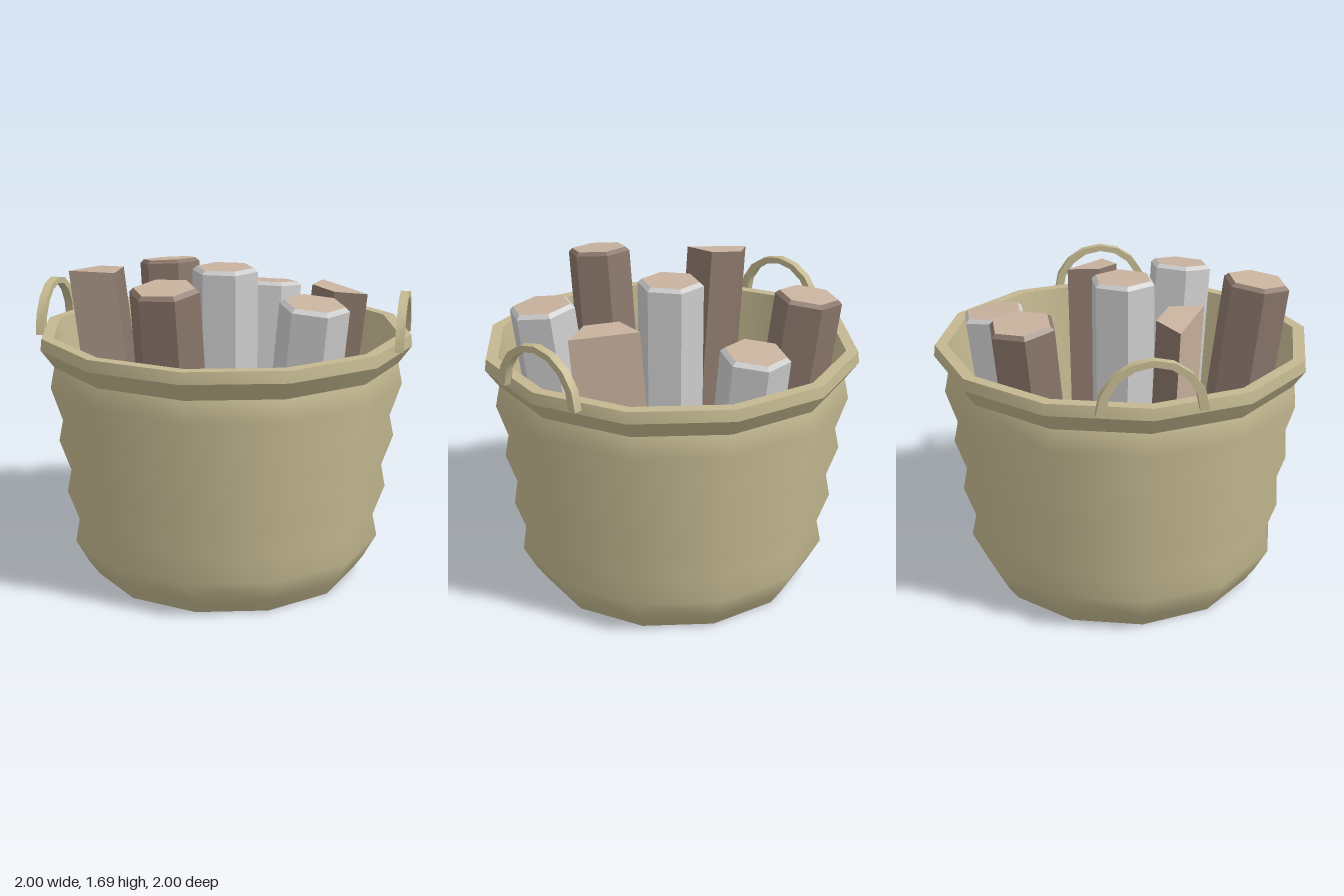
import * as THREE from 'three';
import { toCreasedNormals } from 'three/addons/utils/BufferGeometryUtils.js';

const mat = (color, flatShading = false) => new THREE.MeshStandardMaterial({ color, flatShading });
const R = 0.177;      // log radius
const FLOOR = 0.1;    // inside floor of the basket

export function createModel() {
  const model = new THREE.Group();
  const wicker = mat(0xc3b890);
  const wood = mat(0xc8b29e, true);
  const greyBark = mat(0xcccccc, true);
  const brownBark = mat(0x8a766a, true);

  const add = (parent, name, geometry, material) => {
    const mesh = new THREE.Mesh(geometry, material);
    mesh.name = name;
    parent.add(mesh);
    return mesh;
  };

  // Twelve-sided lathe, smooth below the crease angle
  const lathe = (name, profile, crease) => {
    const points = profile.map(([x, y]) => new THREE.Vector2(x, y));
    add(model, name, toCreasedNormals(new THREE.LatheGeometry(points, 12), crease), wicker);
  };

  // Basket: rippled wall, rim and lining
  lathe('basketWall', [
    [0, 0], [0.725, 0], [0.78, 0.08], [0.85, 0.21], [0.825, 0.33], [0.885, 0.5], [0.862, 0.62],
    [0.92, 0.79], [0.897, 0.9], [0.955, 1.08], [0.932, 1.19],
  ], 0.85);
  lathe('basketRim', [[0.932, 1.19], [1, 1.285], [0.993, 1.345], [0.93, 1.345]], 0.6);
  lathe('basketLining', [[0.93, 1.345], [0.76, FLOOR], [0, FLOOR]], 0.6);

  // Handles: flat arched bands on the two sides
  const arch = new THREE.Shape();
  const arc = (rx, ry, i) => [rx * Math.cos((i * Math.PI) / 8), ry * Math.sin((i * Math.PI) / 8)];
  arch.moveTo(...arc(0.27, 0.265, 0));
  for (let i = 1; i <= 8; i++) arch.lineTo(...arc(0.27, 0.265, i));
  for (let i = 8; i >= 0; i--) arch.lineTo(...arc(0.225, 0.232, i));
  const handleGeometry = new THREE.ExtrudeGeometry(arch, { depth: 0.045, bevelEnabled: false });
  handleGeometry.translate(0, 0, -0.0225).rotateY(Math.PI / 2);
  for (const side of [1, -1]) {
    const handle = add(model, side > 0 ? 'leftHandle' : 'rightHandle',
      toCreasedNormals(handleGeometry, 0.6), wicker);
    handle.position.set(side * 0.952, 1.31, 0);
  }

  // Group whose y axis runs from the foot of a log to its top
  const leaning = (name, foot, top) => {
    const a = new THREE.Vector3(foot[0], FLOOR, foot[1]);
    const axis = new THREE.Vector3(...top).sub(a);
    const group = new THREE.Group();
    group.name = name;
    group.position.copy(a);
    group.userData.length = axis.length();
    group.quaternion.setFromUnitVectors(new THREE.Vector3(0, 1, 0), axis.normalize());
    model.add(group);
    return group;
  };

  // Whole logs: hexagonal, with a bevelled end
  const wholeLogs = [
    ['centreLog', [0, 0], [0, 1.665, 0], greyBark],
    ['frontLog', [-0.11, 0.5], [-0.155, 1.675, 0.68], brownBark],
    ['backLog', [0.11, -0.52], [0.13, 1.475, -0.675], greyBark],
    ['backRightLog', [-0.34, -0.43], [-0.45, 1.6, -0.565], brownBark],
    ['frontLeftLog', [0.4, 0.3], [0.54, 1.575, 0.41], greyBark],
  ];
  for (const [name, foot, top, bark] of wholeLogs) {
    const log = leaning(name, foot, top);
    const h = log.userData.length - 0.02;
    const turn = Math.PI / 6;
    add(log, 'bark', new THREE.CylinderGeometry(R, R, h, 6, 1, false, turn).translate(0, h / 2, 0), bark);
    add(log, 'cutEnd', new THREE.CylinderGeometry(0.155, R, 0.02, 6, 1, false, turn)
      .translate(0, h + 0.01, 0), [bark, wood, wood]);
  }

  // Split logs: half hexagons with a bare inner face; [nx, nz] points to the bark side
  const splitLogs = [
    ['leftSplitLog', [0.475, -0.12], [0.625, 1.56, -0.125], [-0.65, 0.76]],
    ['rightSplitLog', [-0.495, 0.21], [-0.665, 1.655, 0.24], [0.49, -0.87]],
  ];
  for (const [name, foot, top, [nx, nz]] of splitLogs) {
    const log = leaning(name, foot, top);
    const h = log.userData.length;
    const turn = Math.atan2(-nz, nx);
    add(log, 'bark', new THREE.CylinderGeometry(R, R, h, 3, 1, false, 0, Math.PI)
      .translate(0, h / 2, 0).rotateY(turn), [brownBark, wood, wood]);
    add(log, 'splitFace', new THREE.PlaneGeometry(2 * R, h)
      .rotateY(-Math.PI / 2).translate(0, h / 2, 0).rotateY(turn), wood);
  }
  return model;
}
